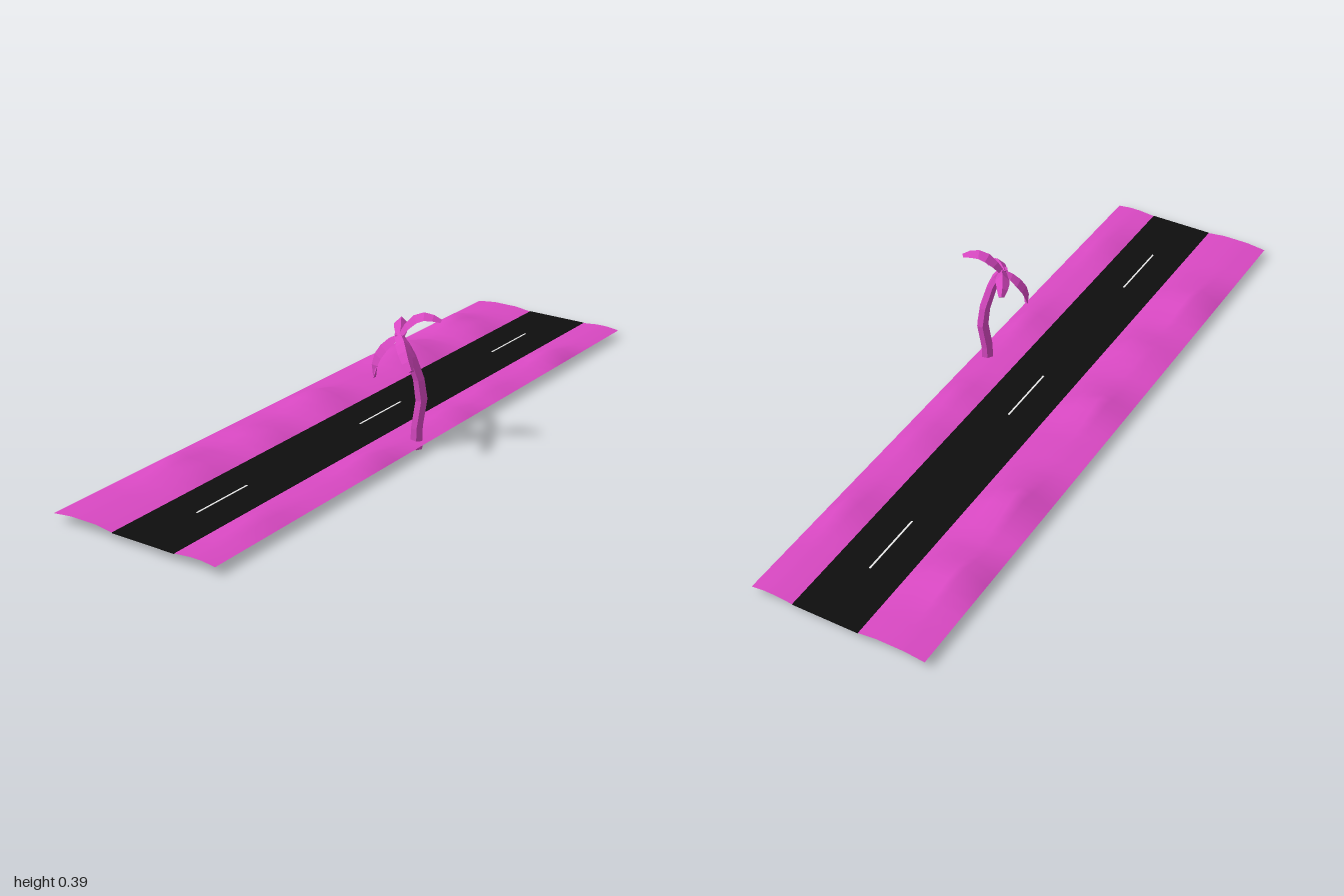
import * as THREE from 'three';

const V = (x, y, z) => new THREE.Vector3(x, y, z);

// Faceted solid from rings of points, capped at both ends
function loft(rings) {
  const pos = [];
  const tri = (a, b, c) => [a, b, c].forEach(p => pos.push(p.x, p.y, p.z));
  const n = rings[0].length;
  for (let i = 0; i < rings.length - 1; i++) {
    for (let j = 0; j < n; j++) {
      const k = (j + 1) % n, A = rings[i], B = rings[i + 1];
      tri(A[j], A[k], B[k]);
      tri(A[j], B[k], B[j]);
    }
  }
  const last = rings[rings.length - 1];
  for (let j = 1; j < n - 1; j++) {
    tri(rings[0][0], rings[0][j + 1], rings[0][j]);
    tri(last[0], last[j], last[j + 1]);
  }
  const g = new THREE.BufferGeometry();
  g.setAttribute('position', new THREE.Float32BufferAttribute(pos, 3));
  g.computeVertexNormals();
  return g;
}

// Strip of rolling ground; peaks are [z, column, height, reach]
function dunes(cols, base, peaks) {
  const rows = 48, pos = [], idx = [], n = cols.length;
  for (let i = 0; i <= rows; i++) {
    const z = -1 + 2 * i / rows;
    for (let j = 0; j < n; j++) {
      let y = 0.022;
      if (j > 0 && j < n - 1) {
        y = base * (1 - 0.25 * Math.abs(z) ** 6);
        for (const [pz, pc, h, w] of peaks) {
          const f = Math.max(0, 1 - Math.abs(z - pz) / w);
          y = Math.max(y, base + (h - base) * f * (pc === j ? 1 : 0.6));
        }
      }
      pos.push(cols[j], y, z);
      if (i < rows && j < n - 1) {
        const a = i * n + j, b = a + n;
        idx.push(a, b, a + 1, a + 1, b, b + 1);
      }
    }
  }
  const g = new THREE.BufferGeometry();
  g.setAttribute('position', new THREE.Float32BufferAttribute(pos, 3));
  g.setIndex(idx);
  g.computeVertexNormals();
  return g;
}

// Folded leaf: triangular section swept along a drooping path
function frond(points) {
  const curve = new THREE.CatmullRomCurve3(points.map(p => V(...p)));
  const first = V(...points[0]), end = V(...points[points.length - 1]);
  const side = V(end.z - first.z, 0, first.x - end.x).normalize();
  const rings = [];
  for (let i = 0; i <= 5; i++) {
    const t = i / 5, p = curve.getPoint(t);
    const up = curve.getTangent(t).cross(side).normalize();
    if (up.y < 0) up.negate();
    const w = [0.011, 0.016, 0.02, 0.019, 0.015, 0.008][i];
    const at = (s, u) => p.clone().addScaledVector(side, s * w).addScaledVector(up, u * w);
    rings.push([at(1, -0.6), at(0, 0.35), at(-1, -0.6), at(0, -0.3)]);
  }
  return loft(rings);
}

export function createModel() {
  const pink = new THREE.MeshStandardMaterial({ color: 0xd848c2, side: THREE.DoubleSide });
  const asphalt = new THREE.MeshStandardMaterial({ color: 0x0e0e0e });
  const white = new THREE.MeshStandardMaterial({ color: 0xf5f5f5 });
  pink.name = 'pink';
  asphalt.name = 'asphalt';
  white.name = 'white';

  const model = new THREE.Group();
  model.name = 'desertRoad';
  const add = (parent, name, geometry, material) => {
    const m = new THREE.Mesh(geometry, material);
    m.name = name;
    parent.add(m);
    return m;
  };

  // Road and centre dashes
  add(model, 'road', new THREE.BoxGeometry(0.196, 0.003, 2), asphalt).position.set(0.017, 0.022, 0);
  for (const z of [-0.7, 0, 0.7]) {
    add(model, 'laneDash', new THREE.BoxGeometry(0.005, 0.001, 0.2), white).position.set(0.017, 0.0242, z);
  }

  // Ground on both sides
  add(model, 'rightDunes', dunes([-0.275, -0.215, -0.19, -0.135, -0.081], 0.029, [
    [-0.73, 1, 0.068, 0.13], [-0.42, 2, 0.072, 0.16], [0.04, 2, 0.062, 0.13],
    [0.33, 3, 0.05, 0.12], [0.62, 1, 0.062, 0.16],
  ]), pink);
  add(model, 'leftDunes', dunes([0.115, 0.165, 0.2, 0.24], 0.027, [
    [-0.65, 2, 0.053, 0.13], [-0.31, 1, 0.042, 0.12], [-0.1, 2, 0.045, 0.1],
    [0.3, 2, 0.05, 0.14], [0.76, 1, 0.045, 0.15],
  ]), pink);

  // Palm tree
  const palm = new THREE.Group();
  palm.name = 'palmTree';
  model.add(palm);

  // Trunk rings: x, y, z, radius
  const trunk = [
    [0.207, 0, 0.104, 0.018], [0.207, 0.06, 0.103, 0.018], [0.216, 0.14, 0.095, 0.018],
    [0.211, 0.2, 0.102, 0.017], [0.196, 0.268, 0.119, 0.016], [0.185, 0.3, 0.13, 0.015],
    [0.167, 0.328, 0.134, 0.012],
  ].map(([x, y, z, r]) => Array.from({ length: 6 }, (_, k) => {
    const a = -k * Math.PI / 3;
    return V(x + r * Math.cos(a), y, z + r * Math.sin(a));
  }));
  add(palm, 'trunk', loft(trunk), pink);

  // Four fronds: path points from the crown to the tip
  const leaves = [
    [[0.165, 0.318, 0.132], [0.187, 0.358, 0.118], [0.215, 0.383, 0.106], [0.245, 0.383, 0.095], [0.27, 0.372, 0.084]],
    [[0.168, 0.325, 0.13], [0.14, 0.306, 0.144], [0.12, 0.278, 0.156], [0.109, 0.248, 0.165], [0.116, 0.207, 0.17]],
    [[0.162, 0.327, 0.13], [0.192, 0.328, 0.155], [0.215, 0.314, 0.177], [0.24, 0.29, 0.2], [0.261, 0.267, 0.213]],
    [[0.172, 0.322, 0.138], [0.152, 0.335, 0.1], [0.134, 0.344, 0.073], [0.119, 0.335, 0.046], [0.112, 0.317, 0.028]],
  ];
  for (const path of leaves) add(palm, 'frond', frond(path), pink);

  return model;
}
